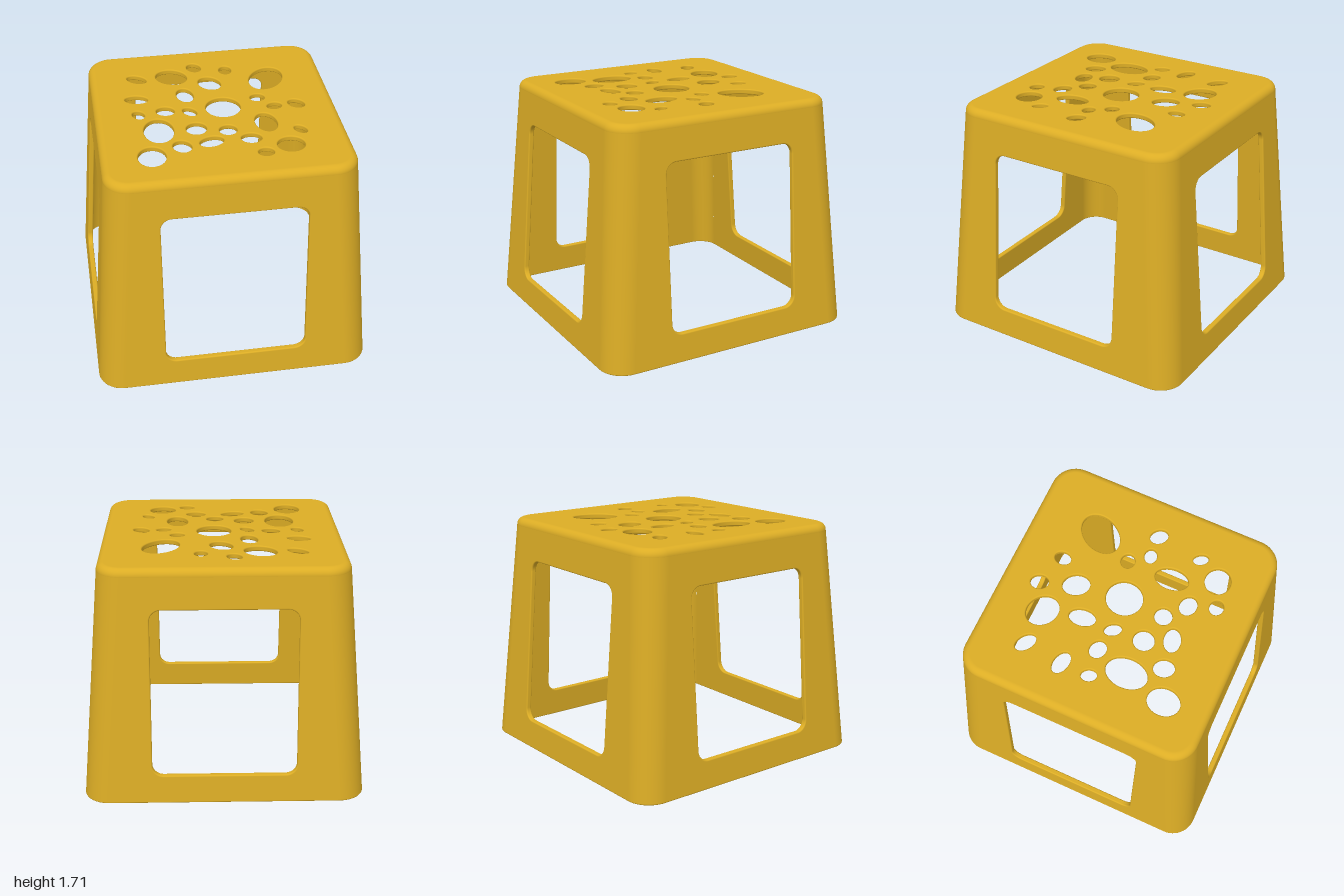
import * as THREE from 'three';
import { mergeGeometries } from 'three/addons/utils/BufferGeometryUtils.js';

const HEIGHT = 1.705, SHOULDER = 1.65, SLOPE = 0.08;
const R = 0.18, T = 0.04, F = 0.01;        // corner radius, wall thickness, small edge rounding
const EDGE = HEIGHT - SHOULDER;            // rounding of the seat edge
const CEILING = HEIGHT - T;
// half width between the corner arcs at a height
const core = (y) => 1 - R - SLOPE * Math.min(y, SHOULDER);

// Geometry from points, normals and faces; each face is turned to agree with its normals
function build(points, normals, faces) {
  const index = [];
  const n = new THREE.Vector3(), e = new THREE.Vector3();
  for (const [a, b, c] of faces) {
    n.subVectors(points[b], points[a]).cross(e.subVectors(points[c], points[a]));
    const facing = n.dot(normals[a]) + n.dot(normals[b]) + n.dot(normals[c]);
    index.push(...(facing < 0 ? [a, c, b] : [a, b, c]));
  }
  const g = new THREE.BufferGeometry().setFromPoints(points);
  g.setAttribute('normal', new THREE.Float32BufferAttribute(normals.flatMap((v) => v.normalize().toArray()), 3));
  g.setIndex(index);
  return g;
}

// Skin over rows of { p, n }
function skin(rows, closed) {
  const w = rows[0].length, faces = [];
  for (let i = 0; i + 1 < rows.length; i++) {
    for (let j = 0; j < (closed ? w : w - 1); j++) {
      const k = (j + 1) % w, a = i * w;
      faces.push([a + j, a + k, a + w + j], [a + k, a + w + k, a + w + j]);
    }
  }
  const all = rows.flat();
  return build(all.map((q) => q.p), all.map((q) => q.n), faces);
}

// Outlines: points with outward directions
function roundedRect(cx, cy, hw, hh, r, seg = 12) {
  const out = [];
  for (let k = 0; k < 4; k++) {
    const sx = k === 0 || k === 3 ? 1 : -1, sy = k < 2 ? 1 : -1;
    for (let i = 0; i <= seg; i++) {
      const a = (k + i / seg) * Math.PI / 2;
      const n = new THREE.Vector2(Math.cos(a), Math.sin(a));
      out.push({ n, p: new THREE.Vector2(cx + sx * (hw - r), cy + sy * (hh - r)).addScaledVector(n, r) });
    }
  }
  return out;
}
function ellipse(x, y, a, b, degrees, seg = 40) {
  const turn = THREE.MathUtils.degToRad(degrees), zero = new THREE.Vector2();
  return Array.from({ length: seg }, (_, i) => {
    const t = i / seg * Math.PI * 2, c = Math.cos(t), s = Math.sin(t);
    return {
      p: new THREE.Vector2(a * c, b * s).rotateAround(zero, turn).add(new THREE.Vector2(x, y)),
      n: new THREE.Vector2(c / a, s / b).normalize().rotateAround(zero, turn),
    };
  });
}

// Plate with rounded-edge holes: place and aim map flat coordinates into the model
function plate(front, back, holes, place, aim) {
  const parts = [];
  for (const [outline, depth, dir] of [[front, 0, 1], [back, -T, -1]]) {
    const loops = holes.map((h) => h.map((q) => q.p.clone().addScaledVector(q.n, F)));
    const faces = THREE.ShapeUtils.triangulateShape(outline, loops);
    const flat = [outline, ...loops].flat();
    parts.push(build(flat.map((p) => place(p.x, p.y, depth)), flat.map(() => aim(0, 0, dir)), faces));
  }
  for (const hole of holes) {
    const rows = [];
    for (const dir of [1, -1]) {
      for (let i = 0; i <= 4; i++) {
        const t = (dir > 0 ? i : 4 - i) / 4 * Math.PI / 2, s = Math.sin(t), c = Math.cos(t);
        const off = F * (1 - s), depth = dir > 0 ? -F * (1 - c) : -T + F * (1 - c);
        rows.push(hole.map(({ p, n }) => ({
          p: place(p.x + n.x * off, p.y + n.y * off, depth),
          n: aim(-n.x * s, -n.y * s, dir * c),
        })));
      }
    }
    parts.push(skin(rows, true));
  }
  return mergeGeometries(parts);
}

// Profile rows [radius, y, normal out, normal up] swept round the body, or over one corner only
function sweep(profile, cornerOnly) {
  const rows = profile.map(([r, y, out, up]) => {
    const h = core(y) + r;
    const line = roundedRect(0, 0, h, h, r).map(({ p, n }) => ({
      p: new THREE.Vector3(p.x, y, p.y),
      n: new THREE.Vector3(n.x * out, up, n.y * out),
    }));
    return cornerOnly ? line.slice(0, 13) : line;
  });
  return skin(rows, !cornerOnly);
}

// Rounded quarter of a profile, from angle a0 to a1
function arc(r, y, radius, a0, a1, seg = 8) {
  return Array.from({ length: seg + 1 }, (_, i) => {
    const a = a0 + (a1 - a0) * i / seg, c = Math.cos(a), s = Math.sin(a);
    return [r + radius * c, y + radius * s, c, s];
  });
}

// Seat holes: x, z, two radii, turn in degrees
const seatHoles = [
  [-0.52, -0.49, 0.08, 0.05, 35], [-0.26, -0.487, 0.122, 0.102, 35], [-0.075, -0.6, 0.065, 0.052, 70],
  [0.155, -0.53, 0.047, 0.06, 0], [0.01, -0.357, 0.098, 0.077, 60], [0.436, -0.367, 0.165, 0.12, -60],
  [-0.55, -0.205, 0.085, 0.053, 12], [-0.193, -0.215, 0.096, 0.061, 82], [0.324, -0.105, 0.054, 0.05, 0],
  [-0.36, -0.018, 0.067, 0.057, 20], [-0.188, 0.015, 0.063, 0.042, 55], [-0.555, 0.005, 0.056, 0.042, 65],
  [0.057, -0.01, 0.126, 0.131, 0], [0.425, 0.025, 0.055, 0.045, -10], [0.588, 0.018, 0.067, 0.052, 45],
  [-0.435, 0.23, 0.106, 0.151, 0], [-0.172, 0.24, 0.073, 0.076, 0], [0.045, 0.29, 0.063, 0.063, 0],
  [0.326, 0.23, 0.122, 0.078, 85], [0.547, 0.357, 0.056, 0.038, 55], [-0.298, 0.447, 0.075, 0.063, 65],
  [-0.09, 0.417, 0.088, 0.06, -15], [0.188, 0.415, 0.073, 0.06, 10], [-0.516, 0.54, 0.097, 0.117, 0],
  [0.443, 0.53, 0.097, 0.092, 0], [0.257, 0.598, 0.056, 0.05, 10],
];

export function createModel() {
  const stool = new THREE.Group();
  stool.name = 'stool';
  const plastic = new THREE.MeshStandardMaterial({ color: 0xdcad25 });
  plastic.name = 'mustard plastic';
  const add = (name, geometry, turn = 0) => {
    const mesh = new THREE.Mesh(geometry, plastic);
    mesh.name = name;
    mesh.rotation.y = turn;
    stool.add(mesh);
  };

  // Perforated seat
  const square = (r) => {
    const h = core(HEIGHT) + r;
    return roundedRect(0, 0, h, h, r).map((q) => q.p);
  };
  add('seat', plate(square(R - EDGE), square(R - T), seatHoles.map((h) => ellipse(...h)),
    (x, z, d) => new THREE.Vector3(x, HEIGHT + d, z),
    (x, z, d) => new THREE.Vector3(x, d, z)));
  add('seatEdge', sweep(arc(R - EDGE, SHOULDER, EDGE, 0, Math.PI / 2)));

  // Tapered side walls with a window in each
  const trapezoid = (top) => [[-1, F], [1, F], [1, top], [-1, top]]
    .map(([s, y]) => new THREE.Vector2(s * core(y), y));
  const wall = plate(trapezoid(SHOULDER), trapezoid(CEILING),
    [roundedRect(0, 0.815, 0.51, 0.605, 0.08)],
    (x, y, d) => new THREE.Vector3(x, y, core(y) + R + d),
    (x, y, d) => new THREE.Vector3(x, y + SLOPE * d, d));

  // Rounded corner legs, outside and inside
  const leg = mergeGeometries([
    sweep([[R, F, 1, SLOPE], [R, SHOULDER, 1, SLOPE]], true),
    sweep([[R - T, F, -1, -SLOPE], [R - T, SHOULDER, -1, -SLOPE], [R - T, CEILING, -1, 0]], true),
  ]);
  for (let k = 0; k < 4; k++) {
    add('sideWall', wall, k * Math.PI / 2);
    add('cornerLeg', leg, k * Math.PI / 2);
  }

  // Rounded foot rim
  add('footRim', sweep([
    ...arc(R - F, F, F, 0, -Math.PI / 2, 4),
    ...arc(R - T + F, F, F, -Math.PI / 2, -Math.PI, 4),
  ]));
  return stool;
}
